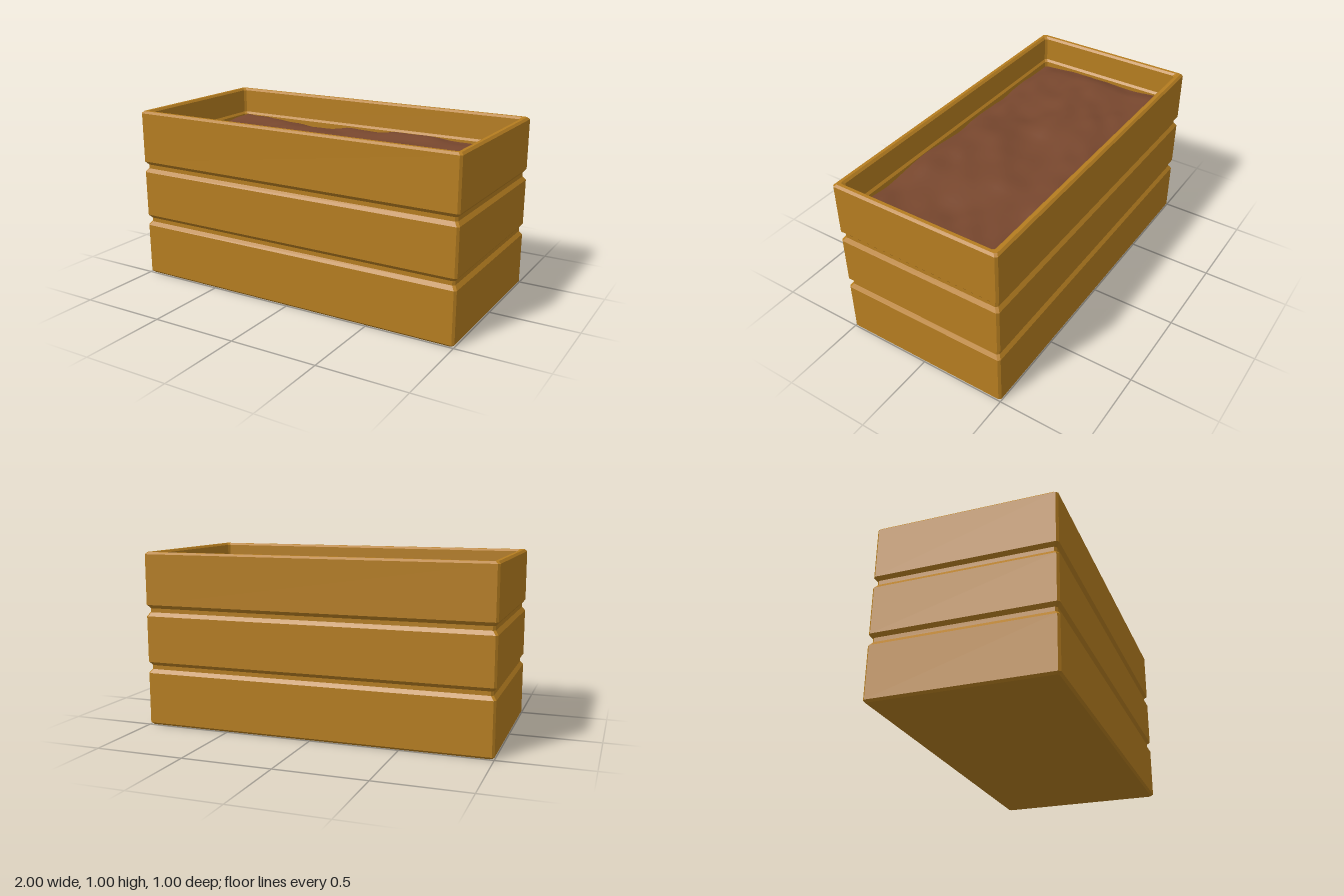
import * as THREE from 'three';

const WOOD = 0xb57d20, SOIL = 0x78472e;

// Rectangle ring with cut corners, inset from the outer footprint
function ring(inset, y, cut) {
  const x = 1 - inset, z = 0.5 - inset;
  return [
    [x, y, z - cut], [x, y, -z + cut], [x - cut, y, -z], [-x + cut, y, -z],
    [-x, y, -z + cut], [-x, y, z - cut], [-x + cut, y, z], [x - cut, y, z],
  ];
}

// Skin successive rings, then cap the first and last
function loft(rings) {
  const pos = [];
  const tri = (a, b, c) => pos.push(...a, ...b, ...c);
  for (let i = 0; i < rings.length - 1; i++) {
    const a = rings[i], b = rings[i + 1], n = a.length;
    for (let j = 0; j < n; j++) {
      const k = (j + 1) % n;
      tri(a[j], a[k], b[k]);
      tri(a[j], b[k], b[j]);
    }
  }
  const first = rings[0], last = rings[rings.length - 1];
  for (let j = 1; j < first.length - 1; j++) {
    tri(first[0], first[j + 1], first[j]);
    tri(last[0], last[j], last[j + 1]);
  }
  const geo = new THREE.BufferGeometry();
  geo.setAttribute('position', new THREE.Float32BufferAttribute(pos, 3));
  geo.computeVertexNormals();
  return geo;
}

// Seeded value noise for the lumpy soil
function hash(i, j) {
  const s = Math.sin(i * 127.1 + j * 311.7 + 4.2) * 43758.5453;
  return s - Math.floor(s);
}
function noise(x, z) {
  const i = Math.floor(x), j = Math.floor(z);
  const u = THREE.MathUtils.smoothstep(x - i, 0, 1);
  const v = THREE.MathUtils.smoothstep(z - j, 0, 1);
  const { lerp } = THREE.MathUtils;
  return lerp(lerp(hash(i, j), hash(i + 1, j), u), lerp(hash(i, j + 1), hash(i + 1, j + 1), u), v);
}

export function createModel() {
  const group = new THREE.Group();

  // Planter box: outer profile with two grooves, rim, then the inner walls
  const profile = [[0.012, 0], [0, 0.012]];
  for (const y of [0.34, 0.67]) {
    profile.push([0, y - 0.035], [0.016, y - 0.013], [0.016, y + 0.01], [0, y + 0.03]);
  }
  profile.push([0, 0.988], [0.012, 1], [0.03, 1], [0.042, 0.988], [0.042, 0.845], [0.054, 0.832], [0.054, 0.74]);
  const box = new THREE.Mesh(
    loft(profile.map(([inset, y]) => ring(inset, y, 0.012))),
    new THREE.MeshStandardMaterial({ color: WOOD, flatShading: true }),
  );
  box.name = 'planterBox';
  group.add(box);

  // Soil: gently uneven surface that sinks a little along the walls
  const geo = new THREE.PlaneGeometry(1.892, 0.892, 48, 24).rotateX(-Math.PI / 2);
  const p = geo.attributes.position;
  for (let i = 0; i < p.count; i++) {
    const x = p.getX(i), z = p.getZ(i);
    const edge = Math.min(0.946 - Math.abs(x), 0.446 - Math.abs(z));
    const lumps = 0.06 * (noise(x * 3 + 7, z * 5 + 3) - 0.5) + 0.02 * (noise(x * 9, z * 11) - 0.5);
    p.setY(i, 0.838 + lumps - 0.03 * (1 - THREE.MathUtils.smoothstep(edge, 0, 0.1)));
  }
  geo.computeVertexNormals();
  const soil = new THREE.Mesh(geo, new THREE.MeshStandardMaterial({ color: SOIL, side: THREE.DoubleSide }));
  soil.name = 'soil';
  group.add(soil);

  return group;
}
